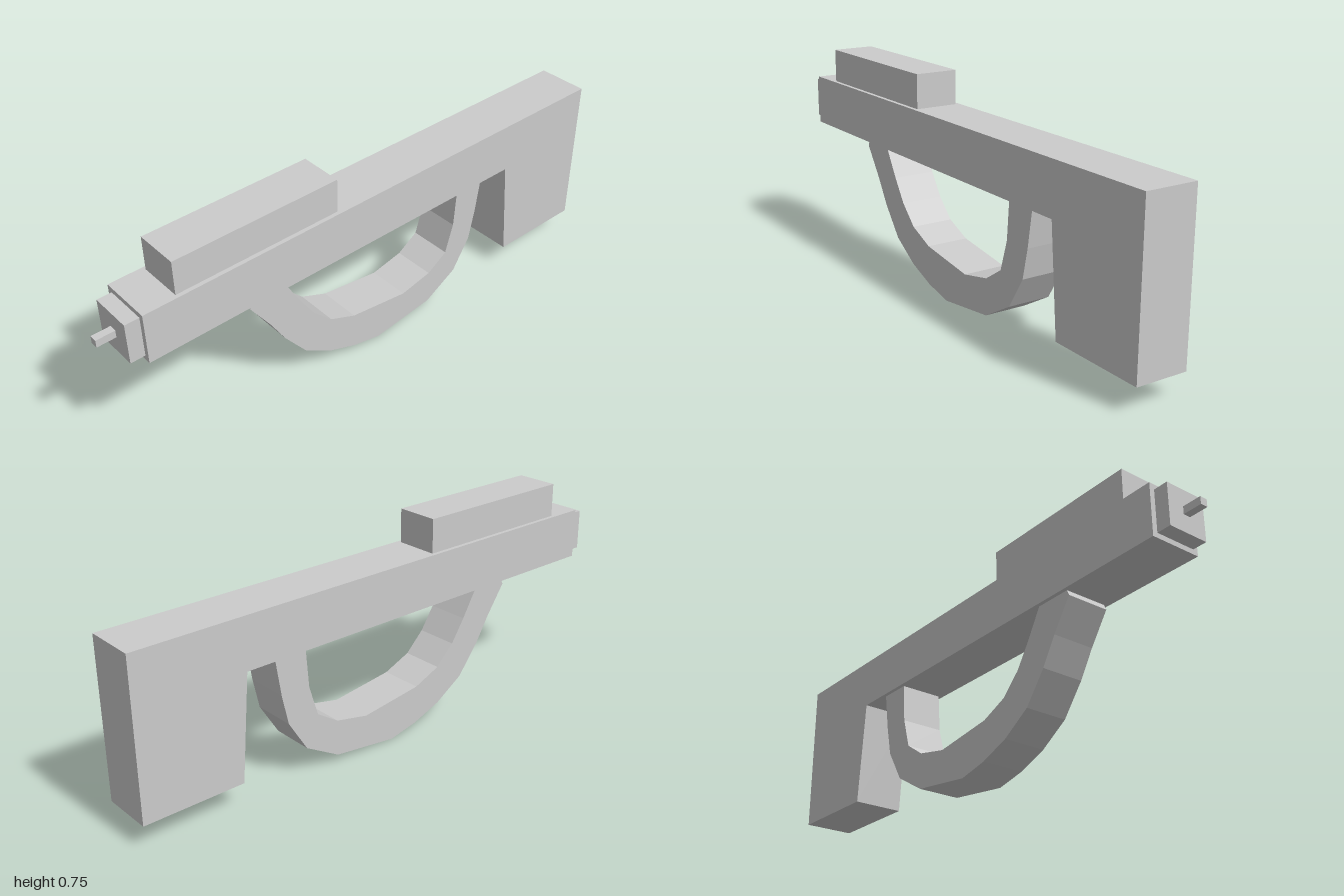
import * as THREE from 'three';

export function createModel() {
  const group = new THREE.Group();
  const material = new THREE.MeshStandardMaterial({ color: 0xcccccc, flatShading: true });

  const add = (name, geometry) => {
    const mesh = new THREE.Mesh(geometry, material);
    mesh.name = name;
    group.add(mesh);
  };

  // Box centred on x, given by its y and z ranges
  const box = (name, width, y0, y1, z0, z1) => {
    const geometry = new THREE.BoxGeometry(width, y1 - y0, z1 - z0);
    geometry.translate(0, (y0 + y1) / 2, (z0 + z1) / 2);
    add(name, geometry);
  };

  // Side profile of [z, y] points, extruded evenly across x
  const profile = (name, width, points) => {
    const shape = new THREE.Shape(points.map(([z, y]) => new THREE.Vector2(z, y)));
    const geometry = new THREE.ExtrudeGeometry(shape, { depth: width, bevelEnabled: false });
    geometry.translate(0, 0, -width / 2);
    geometry.rotateY(-Math.PI / 2);
    add(name, geometry);
  };

  // Long body with the dropped rear block
  profile('bodyAndStock', 0.182, [
    [0.885, 0.635], [-1, 0.635], [-1, 0.085], [-0.645, 0.085], [-0.612, 0.455], [0.885, 0.455],
  ]);

  // Curved loop below the body, outer edge then inner edge
  profile('curvedGuard', 0.154, [
    [0.5, 0.47], [0.515, 0.435], [0.443, 0.33], [0.388, 0.238], [0.307, 0.134], [0.2, 0.066],
    [0.09, 0.024], [-0.02, 0], [-0.26, 0.03], [-0.388, 0.104], [-0.457, 0.217], [-0.48, 0.324],
    [-0.502, 0.47],
    [-0.383, 0.47], [-0.372, 0.318], [-0.34, 0.211], [-0.26, 0.158], [-0.136, 0.132],
    [0.094, 0.163], [0.195, 0.206], [0.265, 0.275], [0.318, 0.356], [0.384, 0.47],
  ]);

  // Raised block on top, stepped nose and pin at the front
  box('topBlock', 0.154, 0.635, 0.755, 0.16, 0.765);
  box('nosePlate', 0.146, 0.472, 0.617, 0.885, 0.935);
  box('frontPin', 0.026, 0.532, 0.558, 0.935, 1);

  return group;
}
